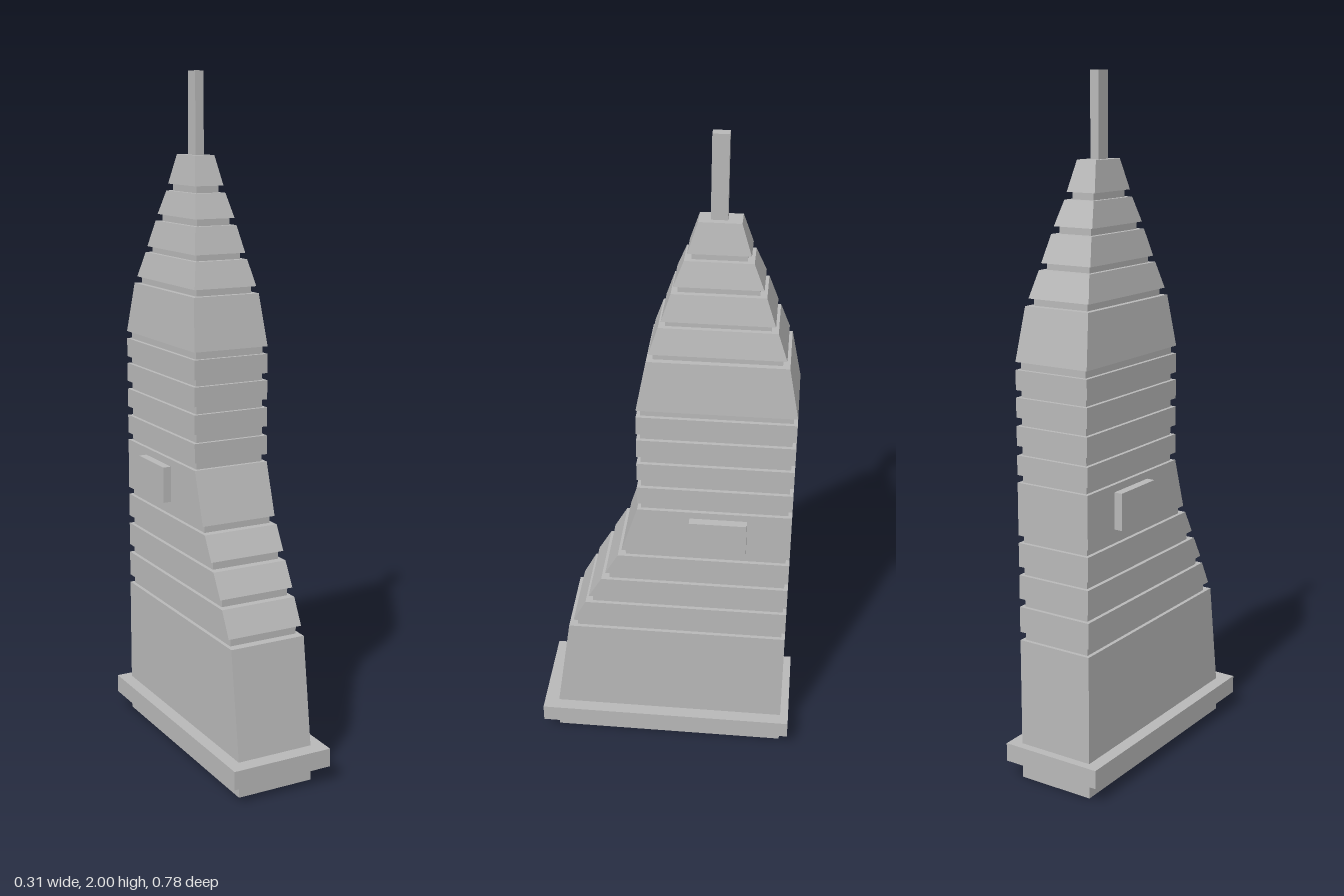
import * as THREE from 'three';

// Tower bands, bottom to top: each end is [y, half width, back z, front z]
const W = 0.118, B = -0.365, F = 0.083;
const BANDS = [
  [[0, W, B, 0.347], [0.1, W, B, 0.346], [0.425, W, B, 0.3]],
  [[0.45, W, B, 0.285], [0.525, W, B, 0.246]],
  [[0.55, W, B, 0.235], [0.62, W, B, 0.195]],
  [[0.645, W, B, 0.182], [0.715, W, B, 0.143]],
  [[0.737, W, B, 0.131], [0.89, W, B, F]],
  // straight ribs
  ...[0.912, 0.995, 1.075, 1.152].map((y) => [[y, W, B, F], [y + 0.056, W, B, F]]),
  // tapering crown
  [[1.23, W, B, F], [1.38, 0.104, -0.336, 0.055]],
  [[1.4, 0.099, -0.327, 0.049], [1.475, 0.083, -0.3, 0.024]],
  [[1.493, 0.081, -0.292, 0.016], [1.57, 0.066, -0.265, -0.009]],
  [[1.59, 0.063, -0.257, -0.015], [1.66, 0.048, -0.228, -0.042]],
  [[1.68, 0.046, -0.22, -0.05], [1.765, 0.031, -0.192, -0.077]],
];
const GROOVE = 0.011;

// Lofts rectangular rings into a closed, flat-shaded solid
function loft(rings) {
  const pos = [];
  const corners = rings.map(([y, w, b, f]) => [[-w, y, f], [w, y, f], [w, y, b], [-w, y, b]]);
  const quad = (a, b, c, d) => pos.push(...a, ...b, ...c, ...a, ...c, ...d);
  for (let i = 0; i < corners.length - 1; i++) {
    const lo = corners[i], hi = corners[i + 1];
    for (let k = 0; k < 4; k++) {
      const n = (k + 1) % 4;
      quad(lo[k], lo[n], hi[n], hi[k]);
    }
  }
  const first = corners[0], last = corners[corners.length - 1];
  quad(first[3], first[2], first[1], first[0]);
  quad(...last);
  const geometry = new THREE.BufferGeometry();
  geometry.setAttribute('position', new THREE.Float32BufferAttribute(pos, 3));
  geometry.computeVertexNormals();
  return geometry;
}

export function createModel() {
  const group = new THREE.Group();
  const stone = new THREE.MeshStandardMaterial({ color: 0xb8b8b8 });
  stone.name = 'grey stone';

  const add = (name, geometry, x = 0, y = 0, z = 0) => {
    const mesh = new THREE.Mesh(geometry, stone);
    mesh.name = name;
    mesh.position.set(x, y, z);
    group.add(mesh);
  };

  // Tower: bands joined by recessed grooves
  const rings = [];
  BANDS.forEach((band, i) => {
    if (i > 0) {
      const below = BANDS[i - 1][BANDS[i - 1].length - 1];
      const [y, w, b, f] = band[0];
      const inset = [w - GROOVE, b + GROOVE, f - GROOVE];
      rings.push([below[0], ...inset], [y, ...inset]);
    }
    rings.push(...band);
  });
  add('tower', loft(rings));

  // Ledge around the foot
  add('baseLedge', new THREE.BoxGeometry(0.312, 0.055, 0.78), 0, 0.0785, 0);

  // Spire
  add('spire', new THREE.BoxGeometry(0.027, 0.245, 0.045), 0, 1.8775, -0.131);

  // Panels on both flanks
  for (const s of [1, -1]) {
    add(s > 0 ? 'leftPanel' : 'rightPanel', new THREE.BoxGeometry(0.035, 0.107, 0.167), s * 0.1255, 0.815, -0.153);
  }
  return group;
}
